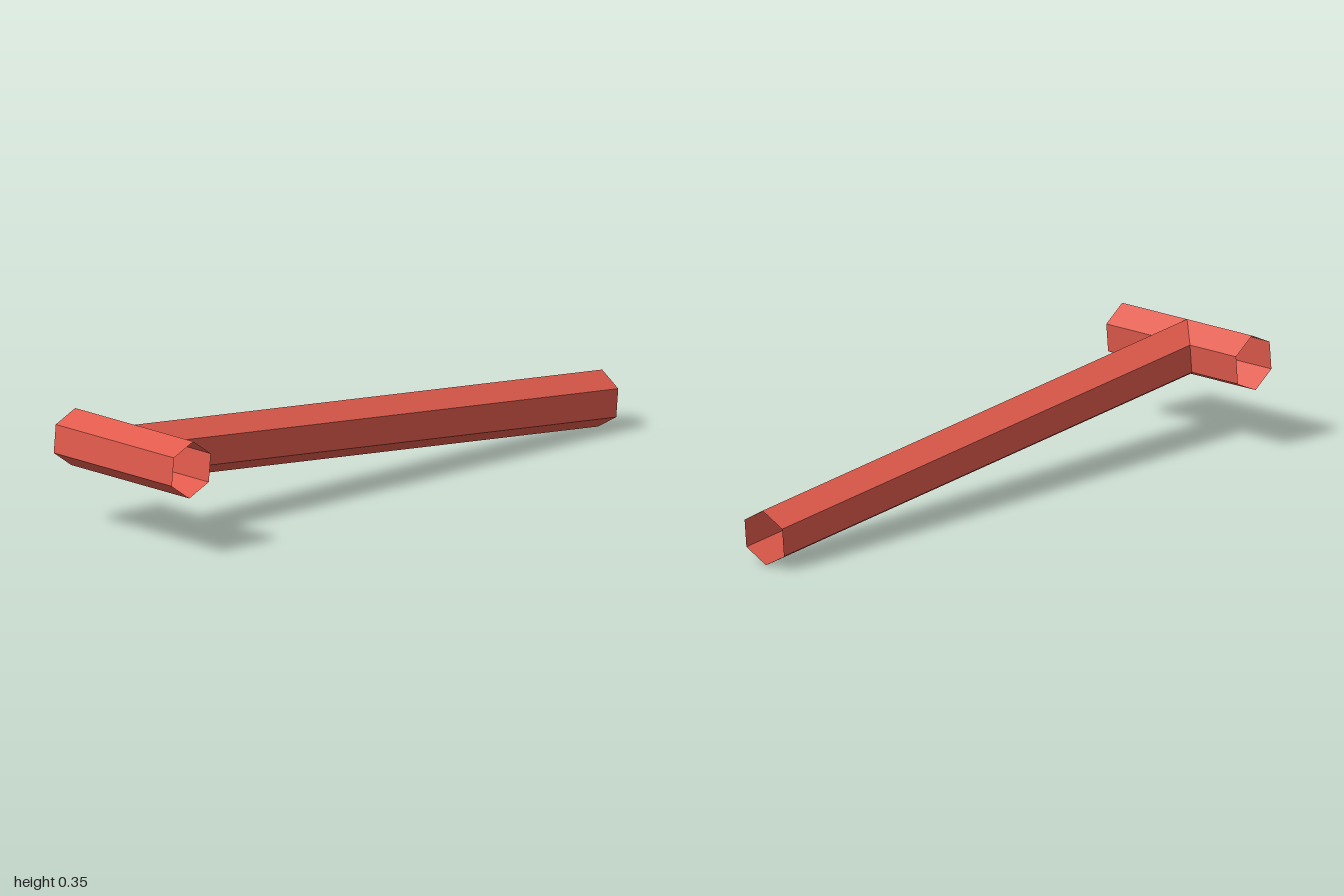
import * as THREE from 'three';

export function createModel() {
  const group = new THREE.Group();
  group.name = 'teePipe';

  const red = new THREE.MeshStandardMaterial({ color: 0xe05a4c, flatShading: true, side: THREE.DoubleSide });
  red.name = 'coral red';

  const radius = 0.0875;
  const stemLength = 1.921;
  const barLength = 0.523;

  // Open hexagonal tube along y
  const hexTube = (length, start) =>
    new THREE.CylinderGeometry(radius, radius, length, 6, 1, true, start);

  // Long stem running back from the middle of the crossbar, ridge on top
  const stem = new THREE.Mesh(hexTube(stemLength, 0).rotateX(Math.PI / 2), red);
  stem.name = 'stem';
  stem.position.z = -stemLength / 2;

  // Crossbar along x, ridge on top
  const crossbar = new THREE.Mesh(hexTube(barLength, Math.PI / 2).rotateZ(Math.PI / 2), red);
  crossbar.name = 'crossbar';

  // The whole tee is tilted with its front end raised
  const tee = new THREE.Group();
  tee.name = 'tiltedTee';
  tee.add(stem, crossbar);
  tee.rotation.x = -0.0937;
  tee.position.set(0, 0.268, 0.9205);
  group.add(tee);

  return group;
}
